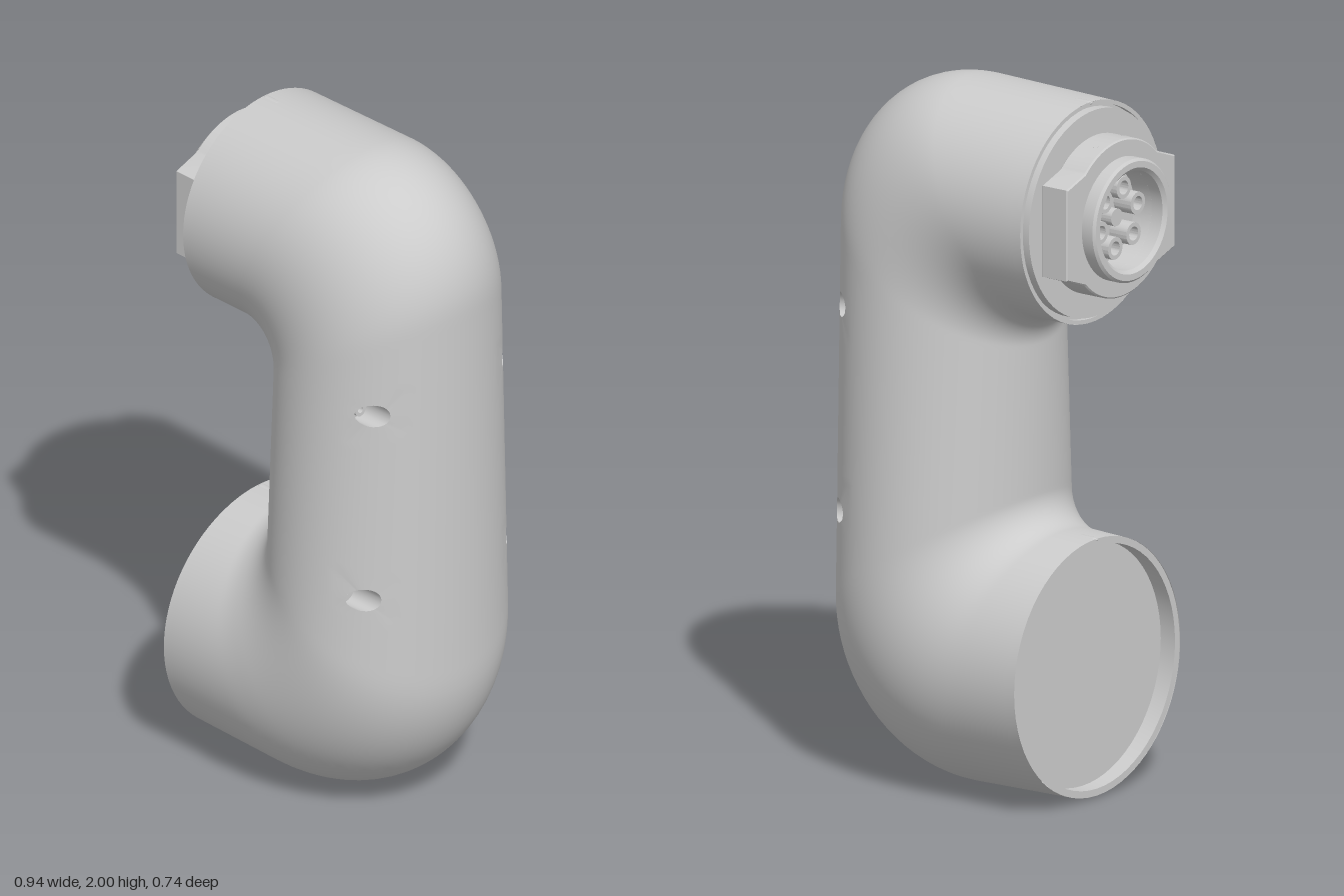
import * as THREE from 'three';
import { toCreasedNormals } from 'three/addons/utils/BufferGeometryUtils.js';

const grey = new THREE.MeshStandardMaterial({ color: 0xcccccc, side: THREE.DoubleSide });
const V = (x, y) => new THREE.Vector2(x, y);
const line = (x0, y0, x1, y1) => new THREE.LineCurve(V(x0, y0), V(x1, y1));
const bend = (x, y, rx, ry, a, b) => new THREE.EllipseCurve(x, y, rx, ry, a, b, true);
const H = Math.PI / 2;

// Outer and inner side lines of the bent arm, in matching segments: [outer, inner, rows]
const SEGMENTS = [
  [line(-0.32, 1.99, 0.1, 2), line(-0.32, 1.36, -0.23, 1.36), 8],
  [bend(0.1, 1.62, 0.365, 0.38, H, 0), bend(-0.23, 1.27, 0.09, 0.09, H, 0), 20],
  [line(0.465, 1.62, 0.465, 0.47), line(-0.14, 1.27, -0.14, 0.84), 40],
  [bend(0, 0.47, 0.465, 0.465, 0, -H), bend(-0.23, 0.84, 0.09, 0.09, 0, -H), 20],
  [line(0, 0.005, -0.34, 0.012), line(-0.23, 0.75, -0.34, 0.745), 8],
];
const ROWS = SEGMENTS.reduce((n, s) => n + s[2], 0), COLS = 80;

// Arm surface: an elliptical section spanning the outer and inner lines
function armPoint(row, col) {
  let k = 0;
  while (k < SEGMENTS.length - 1 && row > SEGMENTS[k][2]) row -= SEGMENTS[k++][2];
  const [outer, inner, n] = SEGMENTS[k];
  const o = outer.getPoint(row / n), i = inner.getPoint(row / n);
  const a = (col / COLS) * Math.PI * 2, c = Math.cos(a) / 2;
  const mx = (o.x + i.x) / 2, my = (o.y + i.y) / 2;
  const w = 0.315 + 0.055 * THREE.MathUtils.clamp((1.68 - my) / 1.28, 0, 1);
  return new THREE.Vector3(mx + (o.x - i.x) * c, my + (o.y - i.y) * c, w * Math.sin(a));
}

// Surface parameters that give a wanted height and depth on the back of the arm
function locate(y, z, row, col) {
  for (let n = 0; n < 12; n++) {
    const p = armPoint(row, col), e = 0.01;
    const r = armPoint(row + e, col).sub(p).divideScalar(e);
    const c = armPoint(row, col + e).sub(p).divideScalar(e);
    const dy = y - p.y, dz = z - p.z, det = r.y * c.z - r.z * c.y;
    row += (dy * c.z - dz * c.y) / det;
    col += (r.y * dz - r.z * dy) / det;
  }
  return [row, col];
}

const HOLES = [[1.35, 0.25], [1.35, -0.25], [0.77, 0.275], [0.77, -0.275]];
const HOLE_R = 0.034;

function armGeometry() {
  const pos = [], idx = [], skipped = new Set();
  const add = (p) => pos.push(p.x, p.y, p.z) / 3 - 1;
  const wrap = (j) => ((j % COLS) + COLS) % COLS;
  const at = (i, j) => i * COLS + wrap(j);
  for (let i = 0; i <= ROWS; i++) for (let j = 0; j < COLS; j++) add(armPoint(i, j));

  // Screw holes: drop a block of cells, fill it around a round rim, add wall and floor
  for (const [y, z] of HOLES) {
    const start = 28 + 40 * (1.62 - y) / 1.15;
    const [row, col] = locate(y, z, start, Math.sign(z) * 11);
    const i0 = Math.floor(row) - 2, i1 = i0 + 5, j0 = Math.floor(col) - 3, j1 = j0 + 7;
    const border = [];
    for (let j = j0; j < j1; j++) border.push([i0, j]);
    for (let i = i0; i < i1; i++) border.push([i, j1]);
    for (let j = j1; j > j0; j--) border.push([i1, j]);
    for (let i = i1; i > i0; i--) border.push([i, j0]);
    for (let i = i0; i < i1; i++) for (let j = j0; j < j1; j++) skipped.add(at(i, j));
    const floorX = armPoint(row, col).x - 0.075;
    const rim = [], wall = [], base = [], floor = [];
    for (const [i, j] of border) {
      const b = armPoint(i, j), d = V(b.y - y, b.z - z).setLength(HOLE_R);
      const p = armPoint(...locate(y + d.x, z + d.y, row, col));
      rim.push(add(p));
      wall.push(add(p));
      p.x = floorX;
      base.push(add(p));
      floor.push(add(p));
    }
    const mid = add(new THREE.Vector3(floorX, y, z));
    border.forEach(([i, j], k) => {
      const m = (k + 1) % border.length, b0 = at(i, j), b1 = at(...border[m]);
      idx.push(b0, b1, rim[k], b1, rim[m], rim[k]);
      idx.push(wall[k], wall[m], base[k], wall[m], base[m], base[k]);
      idx.push(floor[k], floor[m], mid);
    });
  }
  for (let i = 0; i < ROWS; i++) for (let j = 0; j < COLS; j++) {
    if (skipped.has(at(i, j))) continue;
    const a = at(i, j), b = at(i, j + 1), c = at(i + 1, j), d = at(i + 1, j + 1);
    idx.push(a, b, c, b, d, c);
  }
  const g = new THREE.BufferGeometry();
  g.setAttribute('position', new THREE.Float32BufferAttribute(pos, 3));
  g.setIndex(idx);
  g.computeVertexNormals();
  return g;
}

export function createModel() {
  const group = new THREE.Group();
  const mesh = (name, geometry, x = 0, y = 0, z = 0) => {
    const m = new THREE.Mesh(geometry, grey);
    m.name = name;
    m.position.set(x, y, z);
    group.add(m);
    return m;
  };
  // Turned part around the x axis, from [radius, x] pairs
  const turned = (name, pairs, y, z = 0, sides = 64) => mesh(name, toCreasedNormals(
    new THREE.LatheGeometry(pairs.map(([r, x]) => V(r, x)), sides).rotateZ(-H), 0.6), 0, y, z);

  mesh('armShell', armGeometry());

  // Socket screws sunk in the holes
  for (const [y, z] of HOLES) {
    const x = 0.165 + 0.3 * Math.sqrt(1 - (z / 0.335) ** 2) - 0.085;
    turned('screw', [[0.02, x], [0.02, x + 0.03], [0.01, x + 0.03], [0.01, x + 0.015], [0, x + 0.015]], y, z, 20);
  }

  // Lower open end with a recessed cover
  const low = 0.3785, top = 1.675;
  turned('lowerRim', [[0.367, -0.34], [0.347, -0.34], [0.347, -0.29], [0, -0.29]], low);

  // Upper end: rim, groove and flange
  turned('upperFlange', [[0.315, -0.32], [0.303, -0.32], [0.303, -0.305], [0.295, -0.305],
    [0.295, -0.335], [0.21, -0.335], [0.21, -0.34], [0, -0.34]], top);

  // Connector plate: round above and below, a flat lug on each side
  const plate = new THREE.Shape();
  const a0 = Math.PI / 4;
  plate.moveTo(0.24, -0.13);
  plate.lineTo(0.24, 0.13);
  plate.absarc(0, 0, 0.225, a0, Math.PI - a0, false);
  plate.lineTo(-0.24, 0.13);
  plate.lineTo(-0.24, -0.13);
  plate.absarc(0, 0, 0.225, Math.PI + a0, 2 * Math.PI - a0, false);
  plate.closePath();
  plate.holes.push(new THREE.Path().absarc(0, 0, 0.14, 0, Math.PI * 2, true));
  const plateGeo = new THREE.ExtrudeGeometry(plate, { depth: 0.082, curveSegments: 24,
    bevelThickness: 0.004, bevelSize: 0.004, bevelOffset: -0.004, bevelSegments: 1 });
  mesh('connectorPlate', toCreasedNormals(plateGeo.rotateY(-H), 0.5), -0.34, top);

  // Raised collar around the socket
  turned('connectorCollar', [[0.175, -0.42], [0.175, -0.463], [0.168, -0.47], [0.15, -0.47],
    [0.14, -0.46], [0.14, -0.36], [0, -0.36]], top);

  // Hollow contacts inside the socket
  for (let k = 0; k < 6; k++) {
    const a = k * Math.PI / 3 + 0.3, r = 0.085;
    turned('contact', [[0.032, -0.36], [0.032, -0.42], [0.02, -0.42], [0.02, -0.37], [0, -0.37]],
      top + r * Math.sin(a), r * Math.cos(a), 20);
  }
  turned('centreContact', [[0.025, -0.36], [0.025, -0.41], [0, -0.41]], top, 0, 20);

  // Small pins set in the edge of the plate
  for (const side of [1, -1]) for (const a of [-0.29, 0.29]) {
    const pin = mesh('edgePin', new THREE.CylinderGeometry(0.011, 0.011, 0.02, 16),
      -0.39, top + side * 0.2155 * Math.cos(a), 0.2155 * Math.sin(a));
    pin.rotation.x = side * a;
  }

  // Alignment marks on top of both ends
  for (const [x, y] of [[-0.29, 1.986], [-0.31, 0.742]]) {
    const mark = mesh('alignmentMark', new THREE.CapsuleGeometry(0.012, 0.04, 6, 12).rotateZ(H), x, y);
    mark.scale.y = 0.5;
  }
  return group;
}
